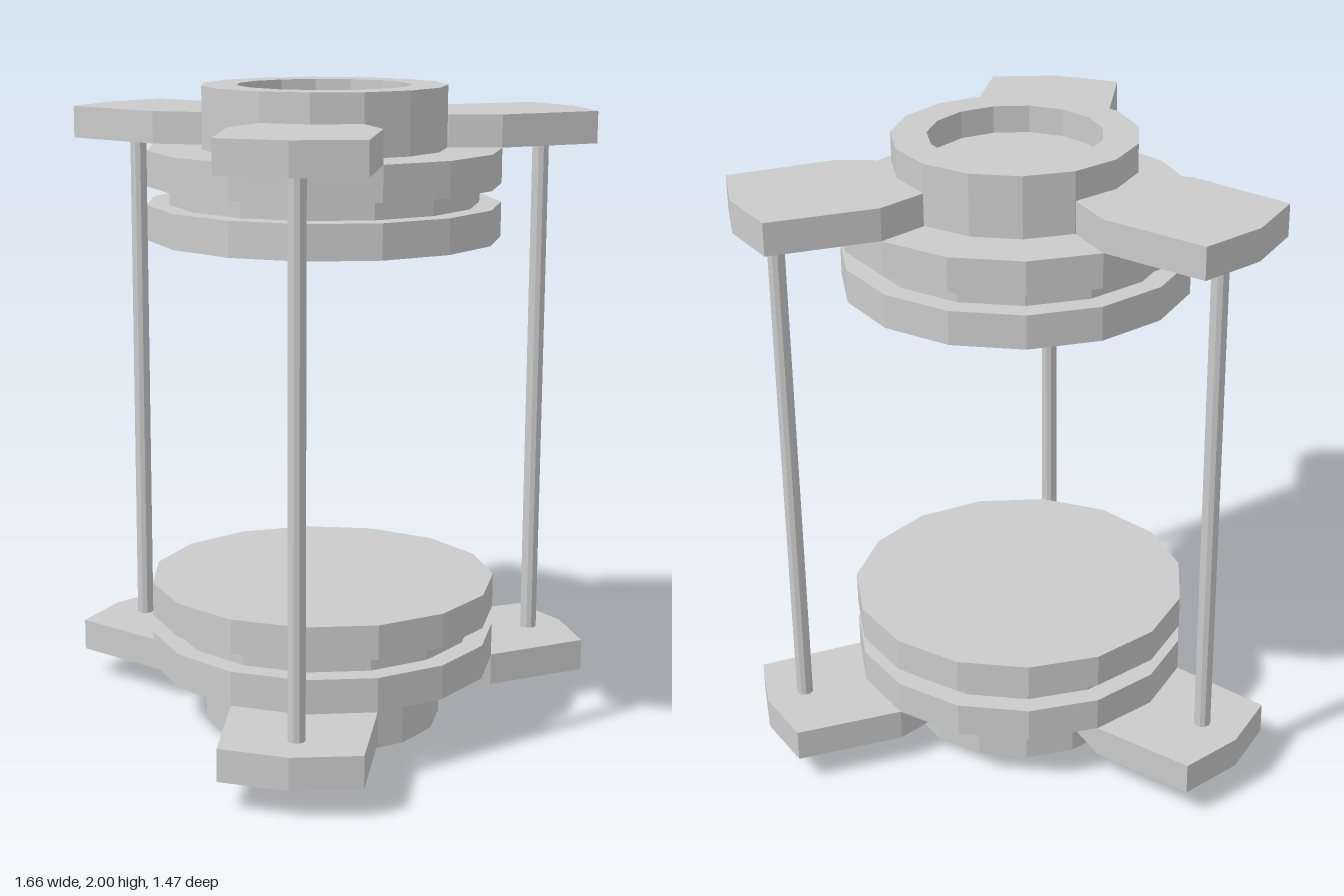
import * as THREE from 'three';

const SIDES = 15;
const AXIS_Z = 0.135;

const grey = new THREE.MeshStandardMaterial({ color: 0xcccccc, flatShading: true });

function part(name, geometry) {
  const mesh = new THREE.Mesh(geometry, grey);
  mesh.name = name;
  return mesh;
}

// Low-poly turned part with one corner pointing to the back
function turned(name, profile) {
  const points = profile.map(([r, y]) => new THREE.Vector2(r, y));
  return part(name, new THREE.LatheGeometry(points, SIDES, Math.PI));
}

// Flat arm widening from the hub to a blunt pointed tip
function armGeometry() {
  const half = [[0.153, 0.345], [0.22, 0.495], [0.21, 0.835]];
  const outline = [...half, [0, 0.875], ...half.map(([x, y]) => [-x, y]).reverse()];
  const shape = new THREE.Shape(outline.map(([x, y]) => new THREE.Vector2(x, y)));
  const geometry = new THREE.ExtrudeGeometry(shape, { depth: 0.1, bevelEnabled: false });
  return geometry.rotateX(-Math.PI / 2).translate(0, 0.09, 0);
}

// One end: recessed hub, grooved disc and three arms
function endAssembly(name) {
  const end = new THREE.Group();
  end.name = name;
  end.add(turned('hub', [
    [0, 0.085], [0.266, 0.085], [0.266, 0], [0.375, 0], [0.375, 0.19],
  ]));
  end.add(turned('groovedDisc', [
    [0, 0.19], [0.542, 0.19], [0.542, 0.297], [0.475, 0.297],
    [0.475, 0.354], [0.542, 0.354], [0.542, 0.46], [0, 0.46],
  ]));
  const geometry = armGeometry();
  for (let i = 0; i < 3; i++) {
    const arm = part('arm', geometry);
    arm.rotation.y = (i * Math.PI * 2) / 3;
    end.add(arm);
  }
  end.position.z = AXIS_Z;
  return end;
}

export function createModel() {
  const model = new THREE.Group();
  model.name = 'twinDiscFrame';

  // Matching ends, the upper one turned upside down
  const lower = endAssembly('lowerEnd');
  const upper = endAssembly('upperEnd');
  upper.rotation.z = Math.PI;
  upper.position.y = 2;
  model.add(lower, upper);

  // Thin rods joining the arms
  const rodGeometry = new THREE.CylinderGeometry(0.026, 0.026, 1.64, 10);
  for (const [x, z] of [[-0.011, -0.603], [0.642, 0.519], [-0.64, 0.513]]) {
    const rod = part('rod', rodGeometry);
    rod.position.set(x, 1, z);
    model.add(rod);
  }
  return model;
}
